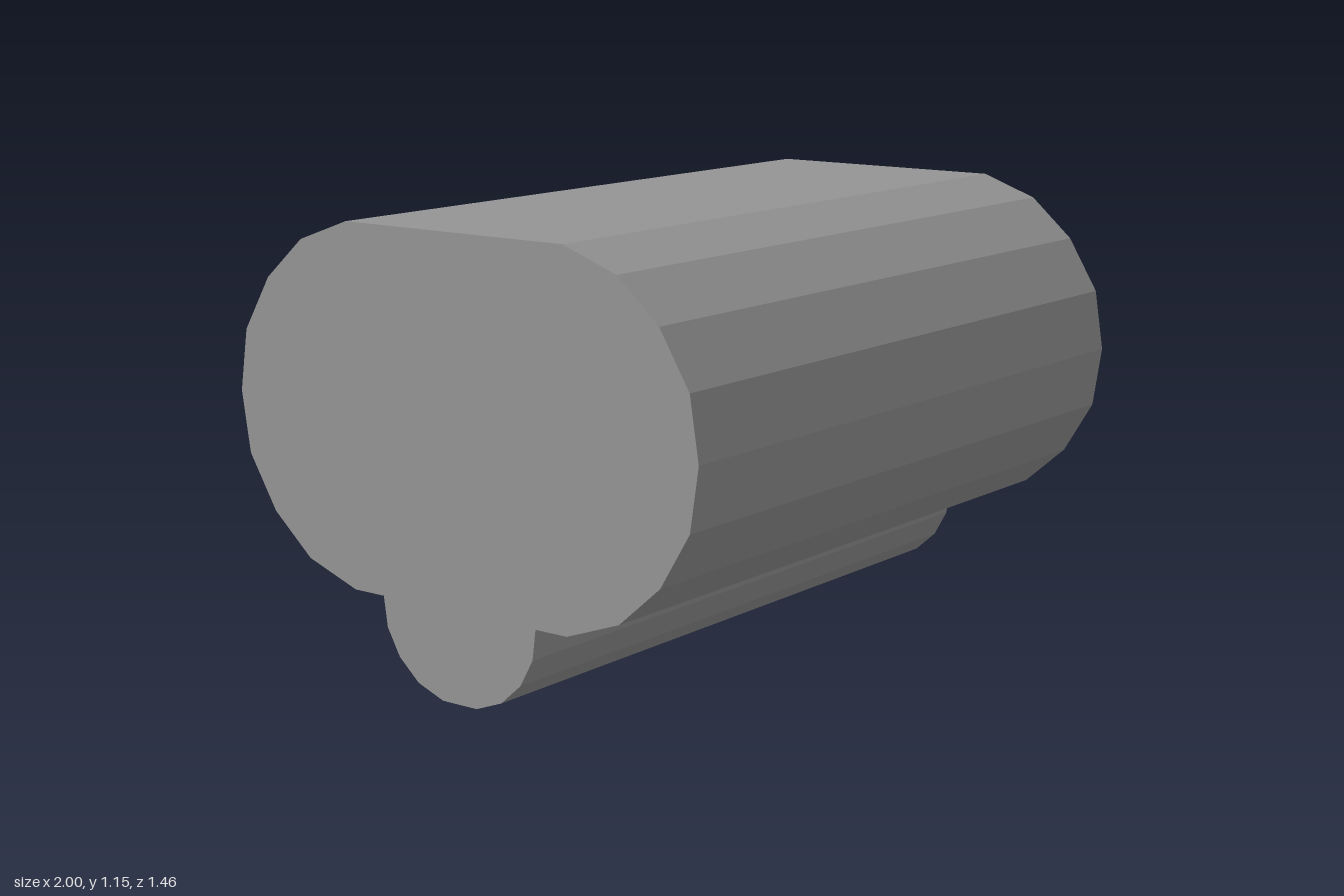
import * as THREE from 'three';

const metal = new THREE.MeshStandardMaterial({ color: 0x959595, flatShading: true });
const glass = new THREE.MeshStandardMaterial({ color: 0xfffefa, side: THREE.DoubleSide });

const CENTRE_Y = 0.694;
const vec = (p) => new THREE.Vector2(p[0], p[1]);

// Half an outline on the right, listed upward, mirrored into a full loop
const mirrorLoop = (half) =>
  [...half, ...half.slice().reverse().map(([u, v]) => [-u, v])].map(vec);

// Upper right quarter of the housing, mirrored to all four quarters
function housingLoop(quarter) {
  const upper = quarter.map(([u, v]) => [u, CENTRE_Y + v]);
  const lower = quarter.slice(1).reverse().map(([u, v]) => [u, CENTRE_Y - v]);
  return mirrorLoop([...lower, ...upper]);
}

// Regular polygon with corners at both sides
function ringLoop(radius, sides) {
  return Array.from({ length: sides }, (_, i) => {
    const a = (i / sides) * Math.PI * 2;
    return new THREE.Vector2(radius * Math.cos(a), radius * Math.sin(a));
  });
}

// Closed convex solid through equal loops placed along x
function loft(sections) {
  const pos = [];
  const tri = (...corners) => corners.forEach(([x, p]) => pos.push(x, p.y, -p.x));
  const n = sections[0].loop.length;
  for (let s = 0; s < sections.length - 1; s++) {
    const a = sections[s], b = sections[s + 1];
    for (let i = 0; i < n; i++) {
      const j = (i + 1) % n;
      tri([a.x, a.loop[i]], [a.x, a.loop[j]], [b.x, b.loop[j]]);
      tri([a.x, a.loop[i]], [b.x, b.loop[j]], [b.x, b.loop[i]]);
    }
  }
  const first = sections[0], last = sections[sections.length - 1];
  for (let i = 1; i < n - 1; i++) {
    tri([last.x, last.loop[0]], [last.x, last.loop[i]], [last.x, last.loop[i + 1]]);
    tri([first.x, first.loop[0]], [first.x, first.loop[i + 1]], [first.x, first.loop[i]]);
  }
  const geo = new THREE.BufferGeometry();
  geo.setAttribute('position', new THREE.Float32BufferAttribute(pos, 3));
  geo.computeVertexNormals();
  return geo;
}

// Hollow collar along x
function collar(outer, inner, x0, x1) {
  const shape = new THREE.Shape(outer);
  shape.holes.push(new THREE.Path(inner));
  return new THREE.ExtrudeGeometry(shape, { depth: x1 - x0, bevelEnabled: false })
    .rotateY(Math.PI / 2).translate(x0, 0, 0);
}

// Flat pane facing +x
const pane = (loop, x) =>
  new THREE.ShapeGeometry(new THREE.Shape(loop)).rotateY(Math.PI / 2).translate(x, 0, 0);

function part(name, geometry, material = metal) {
  const mesh = new THREE.Mesh(geometry, material);
  mesh.name = name;
  return mesh;
}

export function createModel() {
  const model = new THREE.Group();
  model.name = 'twinLensUnit';

  // Main housing with a chamfered lens end
  const wide = housingLoop([[0.73, 0], [0.705, 0.16], [0.62, 0.3], [0.5, 0.405], [0.343, 0.461]]);
  const narrow = housingLoop([[0.66, 0], [0.637, 0.15], [0.565, 0.257], [0.463, 0.342], [0.335, 0.391]]);
  model.add(part('housing', loft([
    { x: -1, loop: wide }, { x: 0.847, loop: wide }, { x: 0.917, loop: narrow },
  ])));

  // Two lens collars with recessed panes
  for (const side of [1, -1]) {
    const lens = new THREE.Group();
    lens.name = side > 0 ? 'frontLens' : 'backLens';
    lens.add(part('lensCollar', collar(ringLoop(0.233, 18), ringLoop(0.187, 18), 0.9, 1)));
    lens.add(part('lensPane', pane(ringLoop(0.19, 18), 0.96), glass));
    lens.position.set(0, CENTRE_Y, side * 0.33);
    model.add(lens);
  }

  // Lower tube, its upper edge sunk into the housing
  const tube = mirrorLoop([[0.055, 0], [0.135, 0.03], [0.197, 0.085], [0.236, 0.155], [0.247, 0.235], [0.247, 0.26]]);
  const opening = mirrorLoop([[0.033, 0.038], [0.093, 0.062], [0.137, 0.11], [0.157, 0.165], [0.16, 0.2]]);
  const lower = new THREE.Group();
  lower.name = 'lowerTube';
  lower.add(part('tubeBody', loft([{ x: -1, loop: tube }, { x: 0.775, loop: tube }])));
  lower.add(part('tubeRim', collar(tube, opening, 0.775, 0.847)));
  lower.add(part('tubePane', pane(opening, 0.78), glass));
  model.add(lower);

  return model;
}
